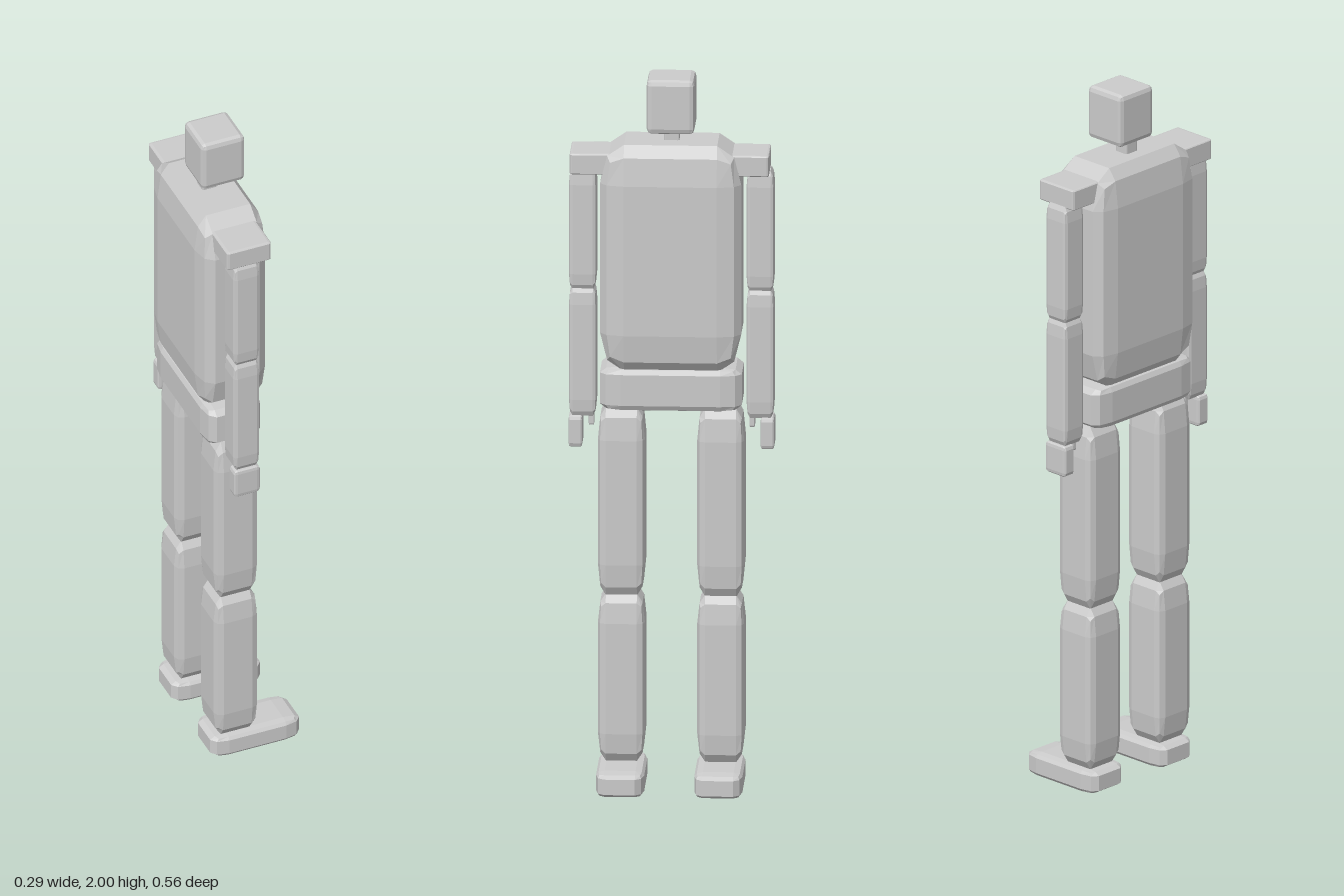
import * as THREE from 'three';
import { RoundedBoxGeometry } from 'three/addons/geometries/RoundedBoxGeometry.js';

const material = new THREE.MeshStandardMaterial({ color: 0xcccccc, flatShading: true });

// Bevelled unit cube stretched to fill the given x, y and z ranges,
// so the bevel grows with the length of each side.
function block(name, [x0, x1], [y0, y1], [z0, z1], bevel = 0.17) {
  const geometry = new RoundedBoxGeometry(1, 1, 1, 1, bevel);
  geometry.scale(x1 - x0, y1 - y0, z1 - z0);
  geometry.translate((x0 + x1) / 2, (y0 + y1) / 2, (z0 + z1) / 2);
  const mesh = new THREE.Mesh(geometry, material);
  mesh.name = name;
  return mesh;
}

export function createModel() {
  const figure = new THREE.Group();
  figure.name = 'blockFigure';

  // Head and trunk; the figure's face and toes point along +x
  figure.add(
    block('head', [-0.095, 0.033], [1.848, 2], [-0.065, 0.065], 0.1),
    block('neck', [-0.075, -0.033], [1.79, 1.86], [-0.021, 0.021], 0.1),
    block('torso', [-0.145, 0.053], [1.175, 1.815], [-0.192, 0.192]),
    block('pelvis', [-0.132, 0.035], [1.063, 1.187], [-0.193, 0.193], 0.15),
  );

  // Limbs on both sides
  for (const side of [1, -1]) {
    const span = (inner, outer) => (side > 0 ? [inner, outer] : [-outer, -inner]);
    const armX = [-0.093, -0.016];
    const armZ = span(0.204, 0.279);
    const arm = new THREE.Group();
    arm.name = side > 0 ? 'armA' : 'armB';
    arm.add(
      block('shoulder', [-0.112, 0.019], [1.728, 1.787], side > 0 ? [0.156, 0.275] : [-0.267, -0.158], 0.06),
      block('upperArm', armX, [1.393, 1.733], armZ, 0.13),
      block('forearm', armX, [1.035, 1.398], armZ, 0.13),
      block('hand', armX, [0.948, 1.037], span(0.242, 0.28), 0.13),
      block('thumb', [-0.07, -0.04], [1.005, 1.045], span(0.211, 0.226), 0.13),
    );

    const legX = [-0.111, 0.017];
    const legZ = span(0.071, 0.199);
    const leg = new THREE.Group();
    leg.name = side > 0 ? 'legA' : 'legB';
    leg.add(
      block('thigh', legX, [0.535, 1.067], legZ),
      block('shin', legX, [0.068, 0.54], legZ),
      block('foot', [-0.12, 0.143], [0, 0.068], span(0.068, 0.199), 0.18),
    );
    figure.add(arm, leg);
  }
  return figure;
}
